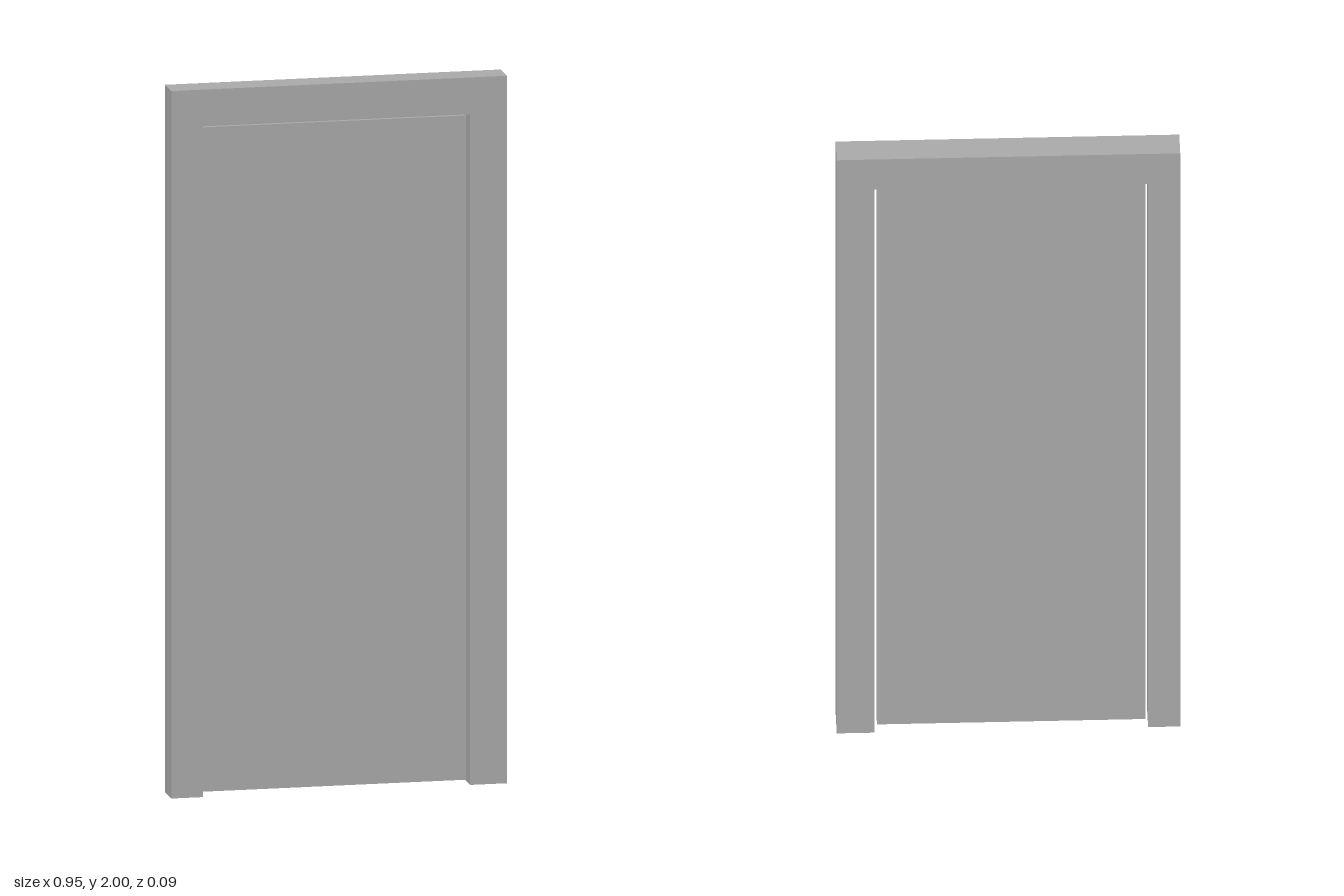
import * as THREE from 'three';

const HALF_DEPTH = 0.0425;
const DOOR_THICKNESS = 0.037;

// Jambs and head: a rectangular section swept up, across and down, open at the feet
function frameGeometry() {
  // each station: outer x, inner x, outer y, inner y (mitred at the top corners)
  const stations = [
    [-0.475, -0.386, 0, 0],
    [-0.475, -0.386, 2, 1.896],
    [0.475, 0.37, 2, 1.896],
    [0.475, 0.37, 0, 0],
  ];
  const positions = [];
  const index = [];
  for (const [ox, ix, oy, iy] of stations) {
    positions.push(
      ox, oy, HALF_DEPTH, ix, iy, HALF_DEPTH,
      ix, iy, -HALF_DEPTH, ox, oy, -HALF_DEPTH,
    );
  }
  for (let s = 0; s < stations.length - 1; s++) {
    for (let k = 0; k < 4; k++) {
      const a = s * 4 + k;
      const b = s * 4 + (k + 1) % 4;
      index.push(a, b, b + 4, a, b + 4, a + 4);
    }
  }
  const indexed = new THREE.BufferGeometry();
  indexed.setAttribute('position', new THREE.Float32BufferAttribute(positions, 3));
  indexed.setIndex(index);
  const geometry = indexed.toNonIndexed();
  geometry.computeVertexNormals();
  return geometry;
}

export function createModel() {
  const group = new THREE.Group();
  group.name = 'door';

  const grey = new THREE.MeshStandardMaterial({ color: 0xaaaaaa, side: THREE.DoubleSide });
  grey.name = 'plain grey';

  const frame = new THREE.Mesh(frameGeometry(), grey);
  frame.name = 'doorFrame';
  group.add(frame);

  // Door leaf with a narrow gap all round, recessed on both faces
  const [left, right, bottom, top] = [-0.38, 0.363, 0.01, 1.888];
  const leaf = new THREE.Mesh(
    new THREE.BoxGeometry(right - left, top - bottom, DOOR_THICKNESS),
    grey,
  );
  leaf.position.set((left + right) / 2, (top + bottom) / 2, 0);
  leaf.name = 'doorLeaf';
  group.add(leaf);

  return group;
}
